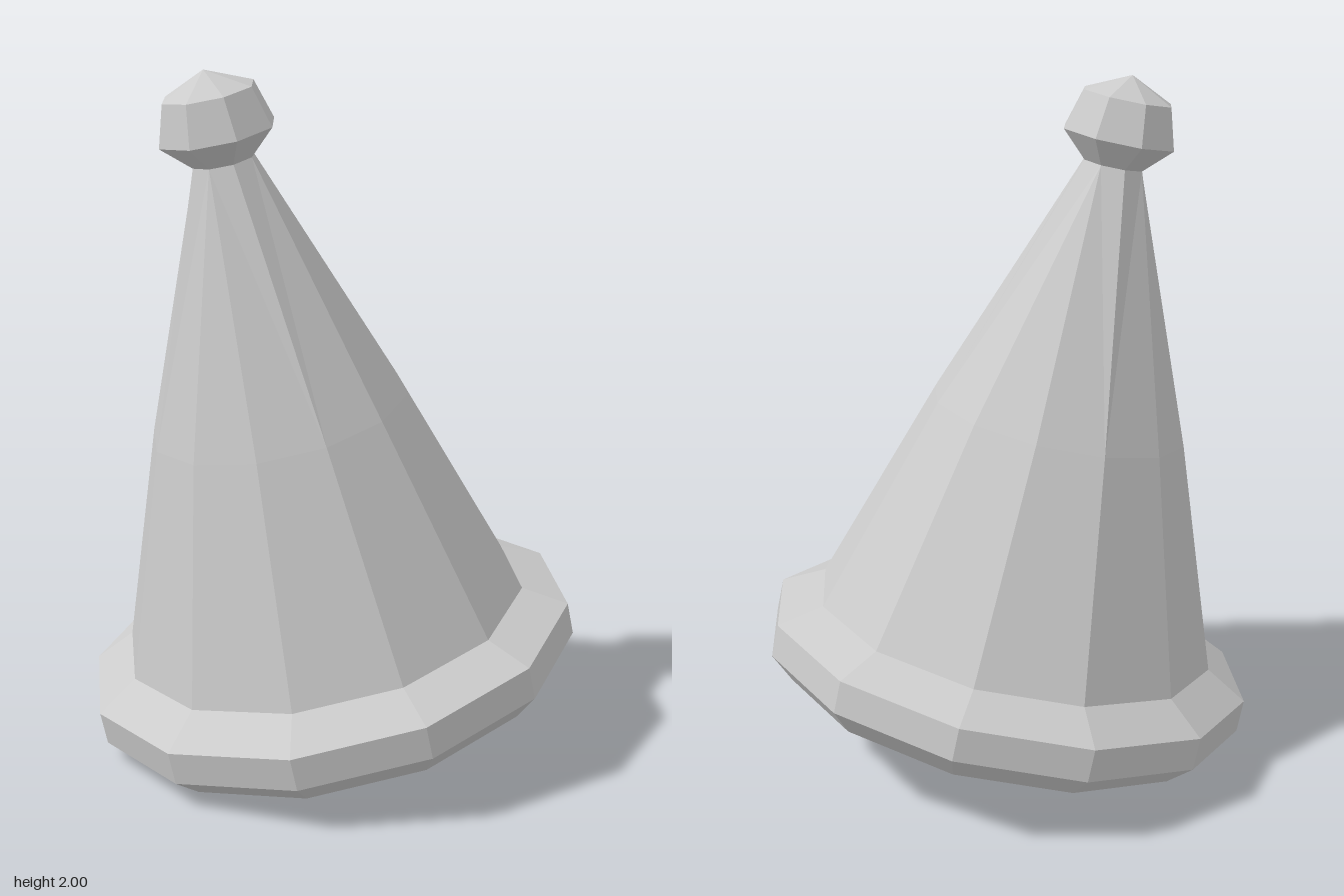
import * as THREE from 'three';

const material = new THREE.MeshStandardMaterial({ color: 0xcccccc, flatShading: true, side: THREE.DoubleSide });

// Faceted surface turned from a profile of [radius, height] pairs
function turned(name, profile, sides) {
  const points = profile.map(([r, y]) => new THREE.Vector2(r, y));
  const geometry = new THREE.LatheGeometry(points, sides).toNonIndexed();
  geometry.computeVertexNormals();
  const mesh = new THREE.Mesh(geometry, material);
  mesh.name = name;
  return mesh;
}

// Upper cone: blends a 12-sided ring into an 8-sided neck, one quadrant at a time
function upperCone([r0, y0], [r1, y1]) {
  const ring = (r, y, n) => (i) => {
    const a = (i / n) * Math.PI * 2;
    return [r * Math.sin(a), y, r * Math.cos(a)];
  };
  const low = ring(r0, y0, 12), top = ring(r1, y1, 8);
  const positions = [];
  const tri = (...corners) => corners.forEach((c) => positions.push(...c));
  for (let q = 0; q < 4; q++) {
    const [m0, m1, m2, m3] = [0, 1, 2, 3].map((k) => low(3 * q + k));
    const [t0, t1, t2] = [0, 1, 2].map((k) => top(2 * q + k));
    tri(m0, m1, t1);
    tri(m0, t1, t0);
    tri(m1, m2, t1);
    tri(m2, m3, t1);
    tri(m3, t2, t1);
  }
  const geometry = new THREE.BufferGeometry();
  geometry.setAttribute('position', new THREE.Float32BufferAttribute(positions, 3));
  geometry.computeVertexNormals();
  const mesh = new THREE.Mesh(geometry, material);
  mesh.name = 'upperCone';
  return mesh;
}

export function createModel() {
  const hat = new THREE.Group();
  hat.name = 'partyHat';
  const base = [0.604, 0.238], middle = [0.379, 0.89], neck = [0.09, 1.648];

  // Bevelled brim band
  hat.add(turned('brim', [[0.655, 0], [0.729, 0.072], [0.729, 0.169], base], 12));

  // Cone body
  hat.add(turned('lowerCone', [base, middle], 12));
  hat.add(upperCone(middle, neck));

  // Hollow underside: a shallow cone facing downwards
  hat.add(turned('hollow', [[0, 0.7], [0.655, 0]], 12));

  // Pompom on the tip
  hat.add(turned('pompom', [neck, [0.171, 1.725], [0.135, 1.842], [0, 1.904]], 8));

  // The hat leans to one side
  hat.rotation.z = THREE.MathUtils.degToRad(12.1);
  hat.position.set(0.028, 0.138, 0);

  const model = new THREE.Group();
  model.add(hat);
  return model;
}
